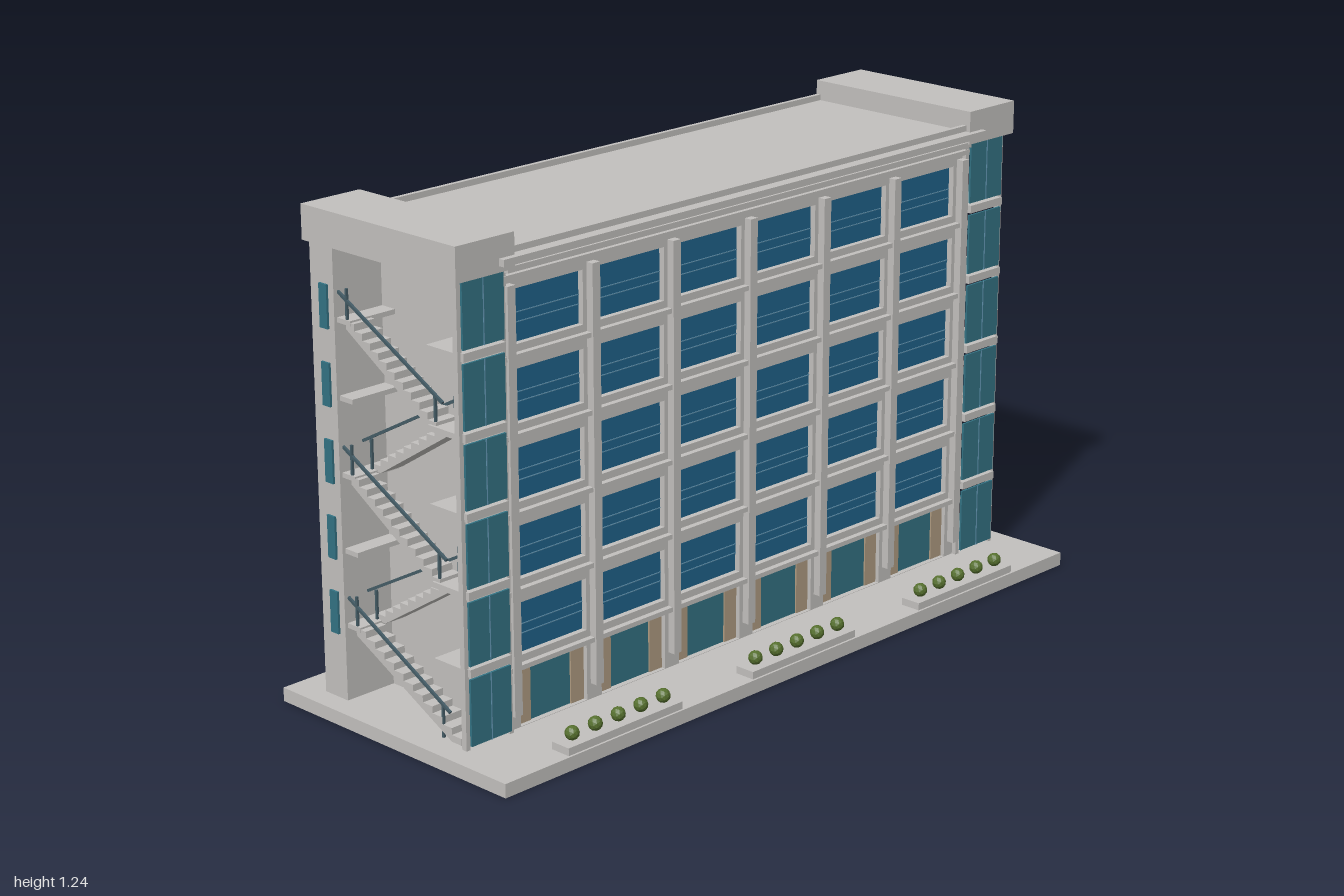
import * as THREE from 'three';

const mat = (name, color, extra = {}) => {
  const m = new THREE.MeshStandardMaterial({ color, ...extra });
  m.name = name;
  return m;
};

export function createModel() {
  const concrete = mat('concrete', 0xc2c0bd);
  const blue = mat('blue glass', 0x20628a);
  const teal = mat('teal glass', 0x337283);
  const tan = mat('tan cladding', 0xb09c82);
  const line = mat('pale blue line', 0x5c8da8);
  const steel = mat('steel rail', 0x445c66);
  const leaf = mat('leaf green', 0x56702e, { flatShading: true });
  const model = new THREE.Group();
  model.name = 'officeBlock';

  // Box given by its limits on each axis
  const box = (parent, name, m, x0, x1, y0, y1, z0, z1) => {
    const mesh = new THREE.Mesh(new THREE.BoxGeometry(x1 - x0, y1 - y0, z1 - z0), m);
    mesh.position.set((x0 + x1) / 2, (y0 + y1) / 2, (z0 + z1) / 2);
    mesh.name = name;
    parent.add(mesh);
    return mesh;
  };

  const BAY = 0.262, FLOOR = 0.1875, BAYS = 6, FLOORS = 5, HALF = 0.107;
  const bayX = i => (i - 2.5) * BAY;

  // Base, core and roof with low parapets
  box(model, 'base', concrete, -1, 1, 0, 0.035, -0.39, 0.388);
  box(model, 'core', concrete, -0.8, 0.8, 0.035, 1.155, -0.285, 0.165);
  box(model, 'roof', concrete, -0.785, 0.785, 1.15, 1.185, -0.3, 0.2);
  box(model, 'frontParapet', concrete, -0.785, 0.785, 1.185, 1.2, 0.192, 0.204);
  box(model, 'backParapet', concrete, -0.785, 0.785, 1.185, 1.2, -0.304, -0.292);

  // Facade grid facing local +z, with its wall plane on z = 0
  const facade = (name, sillDepth, columnDepth) => {
    const g = new THREE.Group();
    g.name = name;
    const shape = new THREE.Shape([[-0.8, 0.035], [0.8, 0.035], [0.8, 1.155], [-0.8, 1.155]]
      .map(p => new THREE.Vector2(...p)));
    const opening = (x, y0, y1) => {
      const a = x - HALF, b = x + HALF;
      shape.holes.push(new THREE.Path([[a, y0], [a, y1], [b, y1], [b, y0]]
        .map(p => new THREE.Vector2(...p))));
    };
    for (let i = 0; i < BAYS; i++) {
      const x = bayX(i);
      for (let f = 0; f < FLOORS; f++) {
        const y = 0.214 + f * FLOOR;
        opening(x, y, y + 0.13);
        box(g, 'window', blue, x - HALF, x + HALF, y, y + 0.13, 0, 0.005);
        for (const h of [0.045, 0.068])
          box(g, 'windowLine', line, x - HALF, x + HALF, y + h, y + h + 0.002, 0.004, 0.007);
      }
      // Ground floor entrance with cladding on both sides
      opening(x, 0.036, 0.18);
      box(g, 'entranceGlass', teal, x - 0.065, x + 0.065, 0.036, 0.18, 0, 0.005);
      for (const s of [-1, 1])
        box(g, 'entranceCladding', tan, x + s * 0.086 - 0.021, x + s * 0.086 + 0.021, 0.036, 0.18, 0, 0.009);
    }
    const grid = new THREE.Mesh(new THREE.ExtrudeGeometry(shape, { depth: 0.02, bevelEnabled: false }), concrete);
    grid.name = 'facadeGrid';
    g.add(grid);
    for (let i = 0; i <= BAYS; i++) {
      const x = (i - 3) * BAY;
      box(g, 'column', concrete, x - 0.012, x + 0.012, 0.075, 1.11, 0.01, columnDepth);
    }
    for (let f = 0; f <= FLOORS; f++) {
      const y = 0.19 + f * FLOOR;
      box(g, 'floorBand', concrete, -0.806, 0.806, y - 0.006, y + 0.006, 0.01, sillDepth);
    }
    model.add(g);
    return g;
  };
  facade('frontFacade', 0.035, 0.04).position.z = 0.165;
  const back = facade('backFacade', 0.046, 0.05);
  back.rotation.y = Math.PI;
  back.position.z = -0.285;

  // Cornices
  box(model, 'frontCornice', concrete, -0.832, 0.832, 1.167, 1.184, 0.18, 0.232);
  box(model, 'backCornice', concrete, -0.832, 0.832, 1.167, 1.184, -0.328, -0.28);
  box(model, 'frontLowerCornice', concrete, -0.8, 0.8, 1.142, 1.156, 0.17, 0.21);
  box(model, 'backLowerCornice', concrete, -0.8, 0.8, 1.142, 1.156, -0.315, -0.28);

  // Bar between two points in the z-y plane
  const rail = (parent, x, z0, y0, z1, y1) => {
    const m = box(parent, 'handrail', steel, -0.003, 0.003, -0.0035, 0.0035, 0, Math.hypot(z1 - z0, y1 - y0));
    m.position.set(x, (y0 + y1) / 2, (z0 + z1) / 2);
    m.rotation.x = -Math.atan2(y1 - y0, z1 - z0);
  };

  // Stepped flight as an extruded profile, running from z0 to z1
  const flight = (parent, x0, x1, z0, z1, y0, y1) => {
    const n = 11, pts = [];
    const dz = (z1 - z0) / n, dy = (y1 - y0) / n;
    for (let i = 0; i < n; i++) {
      pts.push(new THREE.Vector2(-(z0 + i * dz), y0 + i * dy));
      pts.push(new THREE.Vector2(-(z0 + i * dz), y0 + (i + 1) * dy));
    }
    pts.push(new THREE.Vector2(-z1, y1), new THREE.Vector2(-z1, y1 - 0.018));
    pts.push(new THREE.Vector2(-(z0 + dz), y0));
    const geo = new THREE.ExtrudeGeometry(new THREE.Shape(pts), { depth: x1 - x0, bevelEnabled: false });
    const m = new THREE.Mesh(geo.rotateY(Math.PI / 2), concrete);
    m.position.x = x0;
    m.name = 'stairFlight';
    parent.add(m);
  };

  // Open stair tower at each end
  for (const s of [-1, 1]) {
    const g = new THREE.Group();
    g.name = s > 0 ? 'leftStairTower' : 'rightStairTower';
    const bx = (name, m, a, b, ...r) => box(g, name, m, Math.min(s * a, s * b), Math.max(s * a, s * b), ...r);
    bx('towerCap', concrete, 0.785, 0.96, 1.152, 1.237, -0.305, 0.216);
    bx('rearPier', concrete, 0.79, 0.943, 0.035, 1.155, -0.3, -0.22);
    bx('frontPost', concrete, 0.931, 0.943, 0.035, 1.155, 0.182, 0.197);
    bx('innerPost', concrete, 0.795, 0.808, 0.035, 1.155, 0.16, 0.197);
    for (let f = 0; f < FLOORS; f++) {
      const y = 0.2 + f * FLOOR;
      bx('sideWindow', teal, 0.94, 0.949, y, y + 0.106, -0.266, -0.239);
      bx('frontLanding', concrete, 0.8, 0.94, y + 0.02, y + 0.034, 0.09, 0.19);
      bx('landingEdge', concrete, 0.808, 0.934, y + 0.016, y + 0.036, 0.185, 0.207);
      bx('rearLanding', concrete, 0.8, 0.935, y + 0.018, y + 0.03, -0.22, -0.175);
    }
    // Front glass in storey panels with a fine mullion
    for (let f = 0; f <= FLOORS; f++) {
      const y0 = f ? 0.242 + (f - 1) * FLOOR : 0.045;
      const y1 = f === FLOORS ? 1.148 : 0.21 + f * FLOOR;
      bx('towerGlass', teal, 0.808, 0.932, y0, y1, 0.198, 0.204);
      bx('towerMullion', line, 0.869, 0.871, y0, y1, 0.203, 0.206);
    }
    // Alternating flights and the zigzag handrail
    for (let f = 0; f < FLOORS; f++) {
      const y0 = 0.038 + f * FLOOR, y1 = y0 + FLOOR, up = f % 2 === 0;
      const [a, b] = up ? [0.872, 0.934] : [0.803, 0.868];
      const x0 = Math.min(s * a, s * b), x1 = Math.max(s * a, s * b);
      if (up) flight(g, x0, x1, f ? 0.11 : 0.17, -0.19, y0, y1);
      else flight(g, x0, x1, -0.19, 0.11, y0, y1);
      const ry = 0.107 + f * 0.1868, rx = s * (up ? 0.93 : 0.87);
      rail(g, rx, up ? 0.13 : -0.22, ry, up ? -0.22 : 0.13, ry + 0.1868);
      const r = Math.abs(rx);
      for (const [z, y] of up ? [[0.105, y0], [-0.19, y1]] : [[-0.19, y0], [0.105, y1]])
        bx('railPost', steel, r - 0.003, r + 0.003, y, y + 0.078, z - 0.003, z + 0.003);
    }
    model.add(g);
  }

  // Planters with round bushes
  const bushGeo = new THREE.IcosahedronGeometry(0.018, 1);
  for (const x of [-0.613, 0, 0.613]) {
    box(model, 'planter', concrete, x - 0.185, x + 0.185, 0.035, 0.054, 0.327, 0.382);
    for (let i = -2; i <= 2; i++) {
      const bush = new THREE.Mesh(bushGeo, leaf);
      bush.position.set(x + i * 0.074, 0.073, 0.355);
      bush.name = 'bush';
      model.add(bush);
    }
  }
  return model;
}
